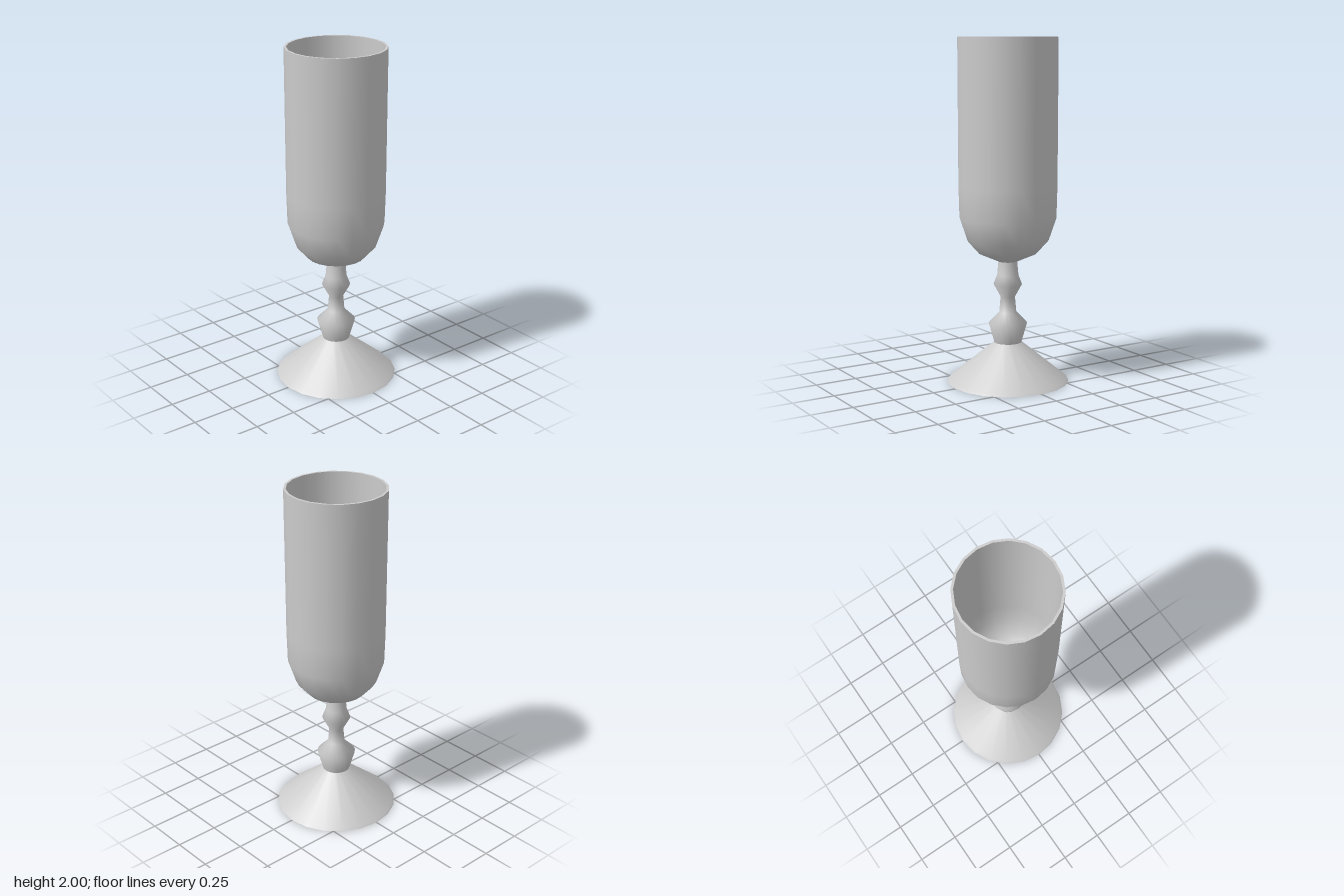
import * as THREE from 'three';

const SIDES = 20;

export function createModel() {
  const group = new THREE.Group();
  group.name = 'goblet';
  const material = new THREE.MeshStandardMaterial({ color: 0xcccccc, side: THREE.DoubleSide });

  // Turned part from [radius, height] pairs
  function turned(name, profile) {
    const points = profile.map(([r, y]) => new THREE.Vector2(r, y));
    const mesh = new THREE.Mesh(new THREE.LatheGeometry(points, SIDES), material);
    mesh.name = name;
    group.add(mesh);
  }

  // Flat underside and conical foot with a fine bevelled edge
  turned('footUnderside', [[0, 0], [0.357, 0]]);
  turned('foot', [[0.357, 0], [0.345, 0.012], [0.08, 0.23]]);

  // Stem with a wide lower knop and a small upper knop
  turned('stem', [
    [0.08, 0.23], [0.113, 0.345], [0.05, 0.41], [0.042, 0.5],
    [0.083, 0.575], [0.062, 0.63], [0.055, 0.71],
  ]);

  // Bowl: outer wall, narrow lip and inner wall
  turned('bowlOutside', [
    [0.055, 0.71], [0.17, 0.76], [0.237, 0.835], [0.281, 0.965],
    [0.286, 1.15], [0.288, 2],
  ]);
  turned('bowlLip', [[0.288, 2], [0.274, 2]]);
  turned('bowlInside', [
    [0.274, 2], [0.272, 1.15], [0.265, 0.97], [0.224, 0.85],
    [0.16, 0.78], [0.055, 0.735], [0, 0.73],
  ]);

  return group;
}
